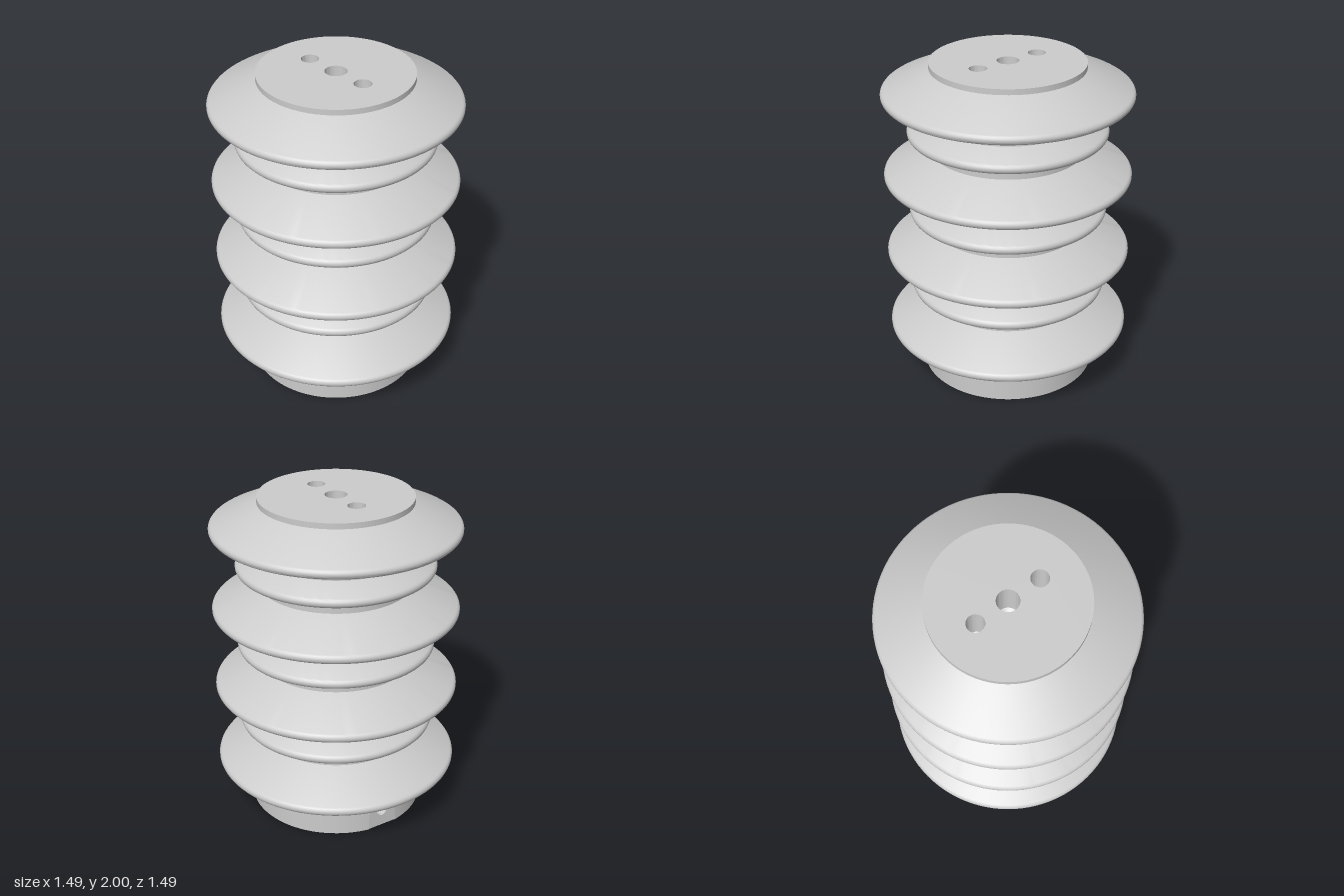
import * as THREE from 'three';
import { toCreasedNormals } from 'three/addons/utils/BufferGeometryUtils.js';

const SEG = 96, CORE = 0.46, BASE = 0.54, BASE_TOP = 0.265, PITCH = 0.507;
const TIP = 0.03;                                    // radius of the rounded shed rims
const FLAT_Z = -0.528, FLAT_W = 0.095, FLAT_H = 0.19, FLAT_R = 0.06;   // earthing recess
const SCREW_Y = 0.105, SCREW_R = 0.035;

export function createModel() {
  const group = new THREE.Group();
  const grey = new THREE.MeshStandardMaterial({ color: 0xcccccc });
  const greyDouble = new THREE.MeshStandardMaterial({ color: 0xcccccc, side: THREE.DoubleSide });

  const add = (name, geometry, material = grey) => {
    const mesh = new THREE.Mesh(geometry, material);
    mesh.name = name;
    group.add(mesh);
    return mesh;
  };
  const lathe = (pts, segments = SEG, start = 0, length = Math.PI * 2) =>
    toCreasedNormals(new THREE.LatheGeometry(
      pts.map(([r, y]) => new THREE.Vector2(r, y)), segments, start, length), 0.5);

  // Surface stretched between two rows of points
  const ruled = (a, b) => {
    const pos = [], index = [];
    a.forEach((p, i) => {
      pos.push(...p, ...b[i]);
      if (i) index.push(2 * i - 2, 2 * i - 1, 2 * i, 2 * i, 2 * i - 1, 2 * i + 1);
    });
    const g = new THREE.BufferGeometry();
    g.setAttribute('position', new THREE.Float32BufferAttribute(pos, 3));
    g.setIndex(index);
    g.computeVertexNormals();
    return toCreasedNormals(g, 0.5);
  };
  const circle = (x, y, r) => new THREE.Path().absarc(x, y, r, 0, Math.PI * 2, true);

  // Ribbed body: alternating wide and narrow sheds on a straight core
  const profile = [[BASE, BASE_TOP]];
  const shed = (bottom, radius, rise) => {
    if (bottom > BASE_TOP) profile.push([CORE, bottom]);
    for (let i = 0; i <= 8; i++) {
      const a = THREE.MathUtils.degToRad(-90 + 156 * i / 8);
      profile.push([radius - TIP + TIP * Math.cos(a), bottom + TIP + TIP * Math.sin(a)]);
    }
    profile.push([CORE, bottom + rise]);
  };
  for (let i = 0; i < 4; i++) {
    shed(BASE_TOP + i * PITCH, 0.745, 0.18);
    if (i < 3) shed(0.535 + i * PITCH, 0.6, 0.113);
  }
  profile.push([CORE, 2]);
  add('ribbedBody', lathe(profile));

  // Top face with three blind holes
  const topHoles = [[0, 0.066], [-0.217, 0.053], [0.217, 0.053]];
  const topShape = new THREE.Shape().absarc(0, 0, CORE, 0, Math.PI * 2);
  topHoles.forEach(([z, r]) => topShape.holes.push(circle(0, z, r)));
  const top = add('topFace', new THREE.ShapeGeometry(topShape, SEG).rotateX(-Math.PI / 2));
  top.position.y = 2;
  topHoles.forEach(([z, r]) => {
    const bore = add('topBore', lathe([[r, 2], [r, 1.75], [0, 1.75 - r * 0.58]], SEG));
    bore.position.z = z;
  });

  // Base wall, left open at the back for the recess
  const half = Math.asin(FLAT_W / BASE);
  add('baseWall', lathe([[BASE, 0], [BASE, BASE_TOP]], SEG, Math.PI + half, Math.PI * 2 - 2 * half));

  // Arched outline of the recess, in x and y
  const outline = new THREE.Shape();
  outline.moveTo(-FLAT_W, 0);
  outline.lineTo(-FLAT_W, FLAT_H - FLAT_R);
  outline.absarc(-FLAT_W + FLAT_R, FLAT_H - FLAT_R, FLAT_R, Math.PI, Math.PI / 2, true);
  outline.absarc(FLAT_W - FLAT_R, FLAT_H - FLAT_R, FLAT_R, Math.PI / 2, 0, true);
  outline.lineTo(FLAT_W, 0);
  const points = outline.getPoints(10);
  const onWall = (x, y) => [x, y, -Math.sqrt(BASE * BASE - x * x)];
  const arch = points.filter(p => p.y > 0.01);
  const edge = points.map(p => onWall(p.x, p.y));

  add('wallAboveRecess', ruled(
    arch.map(p => onWall(p.x, p.y)), arch.map(p => onWall(p.x, BASE_TOP))), greyDouble);
  add('recessEdge', ruled(edge, points.map(p => [p.x, p.y, FLAT_Z])), greyDouble);

  // Flat floor of the recess and its screw hole
  outline.holes.push(circle(0, SCREW_Y, SCREW_R));
  add('recessFloor', new THREE.ShapeGeometry(outline, 24), greyDouble).position.z = FLAT_Z;
  const screw = lathe([[SCREW_R, -FLAT_Z], [SCREW_R, 0.4], [0, 0.38]], 24).rotateX(-Math.PI / 2);
  add('screwBore', screw).position.y = SCREW_Y;

  // Underside, notched at the recess, with the central bore
  const BORE = 0.108;
  const under = new THREE.Shape();
  under.absarc(0, 0, BASE, -Math.PI / 2 + half, Math.PI * 1.5 - half);
  under.lineTo(-FLAT_W, FLAT_Z);
  under.lineTo(FLAT_W, FLAT_Z);
  under.holes.push(circle(0, 0, BORE));
  add('underside', new THREE.ShapeGeometry(under, SEG).rotateX(Math.PI / 2));
  add('bottomBore', lathe([[0, 0.41], [BORE, 0.35], [BORE, 0]]));

  return group;
}
